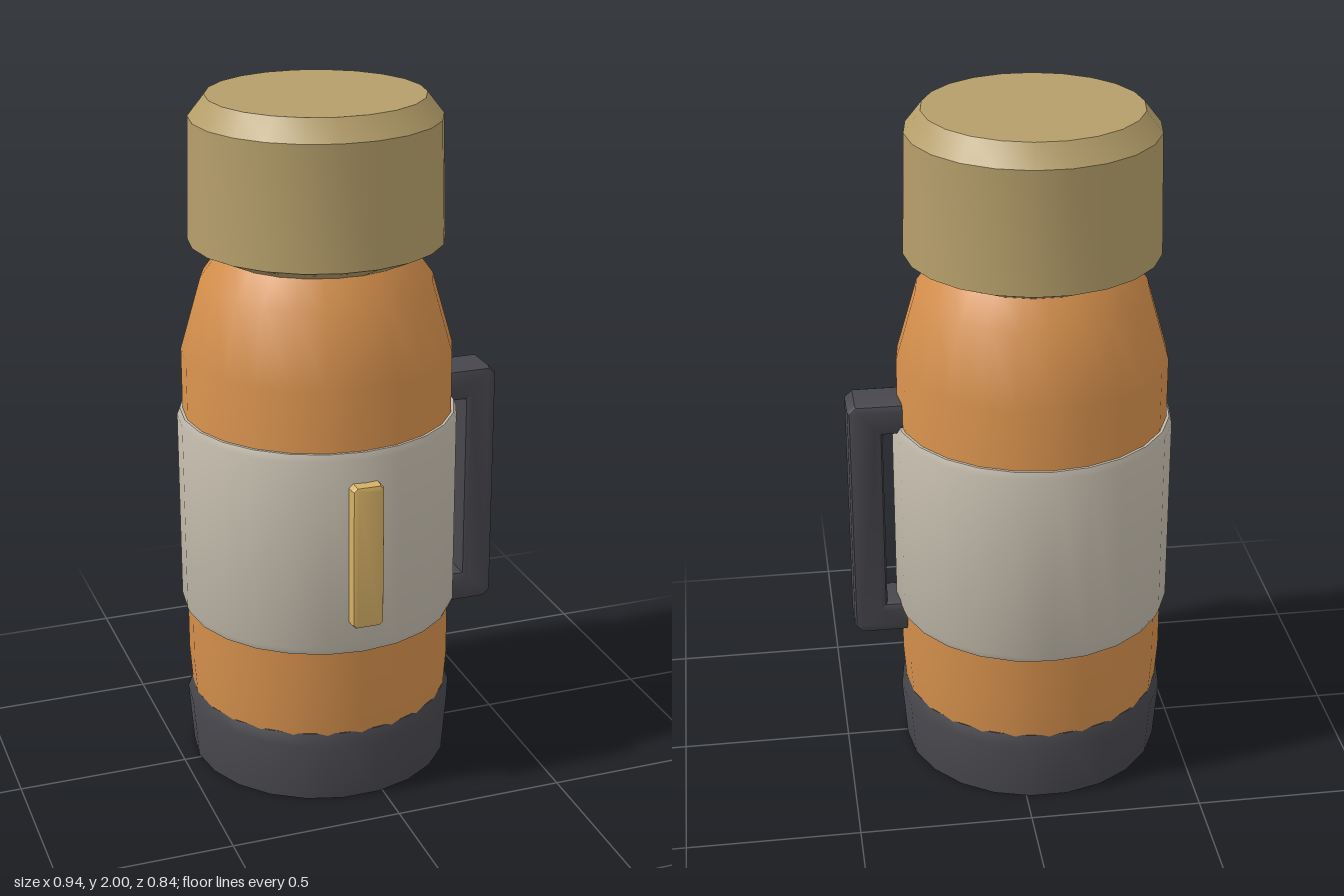
import * as THREE from 'three';
import { toCreasedNormals } from 'three/addons/utils/BufferGeometryUtils.js';

const material = (name, color) => {
  const m = new THREE.MeshStandardMaterial({ color });
  m.name = name;
  return m;
};

// Turned part from [radius, height] pairs, listed bottom to top
function turned(name, mat, profile, sides, crease = 0.6) {
  const points = profile.map(([r, y]) => new THREE.Vector2(r, y));
  const geometry = new THREE.LatheGeometry(points, sides);
  geometry.rotateY(Math.PI / 2);
  const mesh = new THREE.Mesh(toCreasedNormals(geometry, crease), mat);
  mesh.name = name;
  return mesh;
}

// Plate cut from an outline, with chamfered edges; depth includes the chamfers
function chamfered(name, mat, outline, depth, bevel) {
  const shape = new THREE.Shape(outline.map(([x, y]) => new THREE.Vector2(x, y)));
  const geometry = new THREE.ExtrudeGeometry(shape, {
    depth: depth - 2 * bevel,
    bevelEnabled: true,
    bevelThickness: bevel,
    bevelSize: bevel,
    bevelOffset: -bevel,
    bevelSegments: 2,
  });
  geometry.translate(0, 0, bevel - depth / 2);
  const mesh = new THREE.Mesh(toCreasedNormals(geometry, 0.5), mat);
  mesh.name = name;
  return mesh;
}

export function createModel() {
  const orange = material('orange enamel', 0xd48f4c);
  const grey = material('warm grey band', 0xc3bbac);
  const tan = material('tan cap', 0xb59e6a);
  const dark = material('dark rubber', 0x46464c);
  const brass = material('brass badge', 0xd6b065);

  const flask = new THREE.Group();
  flask.name = 'flask';

  // Bottle with sloping shoulder
  flask.add(turned('body', orange, [
    [0, 0.05], [0.37, 0.05], [0.382, 0.21], [0.39, 0.32], [0.39, 1.27],
    [0.33, 1.48], [0.272, 1.56], [0, 1.56],
  ], 24, 0.8));

  // Rubber foot
  flask.add(turned('base', dark, [
    [0, 0], [0.383, 0], [0.397, 0.18], [0.383, 0.215], [0, 0.215],
  ], 22));

  // Wide sleeve round the middle
  flask.add(turned('band', grey, [
    [0.385, 0.48], [0.398, 0.48], [0.406, 0.5], [0.406, 1.07],
    [0.398, 1.09], [0.385, 1.09],
  ], 24));

  // Screw cap with flared underside and bevelled top
  flask.add(turned('cap', tan, [
    [0, 1.55], [0.272, 1.55], [0.363, 1.592], [0.354, 1.94], [0.307, 2], [0, 2],
  ], 22));

  // Side handle, one bracket shape
  const handle = chamfered('handle', dark, [
    [0.36, 0.413], [0.515, 0.413], [0.537, 0.435], [0.537, 1.14], [0.515, 1.162],
    [0.36, 1.162], [0.36, 1.065], [0.438, 1.065], [0.438, 0.51], [0.36, 0.51],
  ], 0.138, 0.018);
  handle.position.z = -0.001;
  flask.add(handle);

  // Upright badge on the front
  const badge = chamfered('badge', brass, [
    [-0.047, 0.583], [-0.035, 0.571], [0.035, 0.571], [0.047, 0.583],
    [0.047, 0.99], [0.035, 1.002], [-0.035, 1.002], [-0.047, 0.99],
  ], 0.06, 0.012);
  badge.position.z = 0.406;
  flask.add(badge);

  flask.position.set(-0.067, 0, -0.015);
  const model = new THREE.Group();
  model.name = 'vacuumFlask';
  model.add(flask);
  return model;
}
